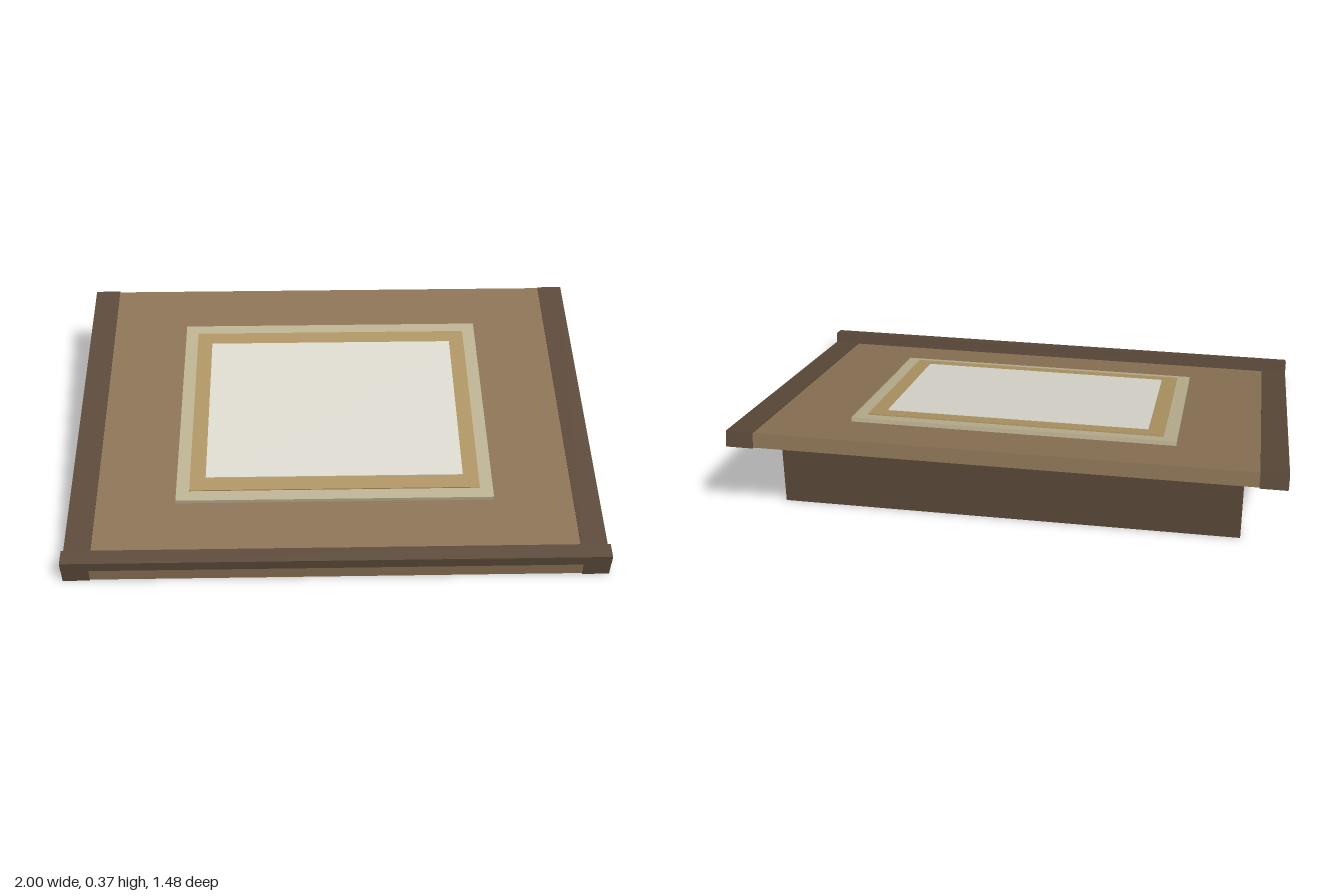
import * as THREE from 'three';

export function createModel() {
  const model = new THREE.Group();
  const material = (name, color) => {
    const m = new THREE.MeshStandardMaterial({ color });
    m.name = name;
    return m;
  };
  const wood = material('mid brown wood', 0x8b7355);
  const darkWood = material('dark brown wood', 0x5c4a3a);
  const mount = material('pale khaki mount', 0xbcb192);
  const gold = material('ochre border', 0xae9564);
  const paper = material('off-white paper', 0xdcd9cf);

  const addBox = (parent, name, mat, size, pos) => {
    const mesh = new THREE.Mesh(new THREE.BoxGeometry(...size), mat);
    mesh.name = name;
    mesh.position.set(...pos);
    parent.add(mesh);
    return mesh;
  };

  // Everything on the sloping desk top shares one tilt
  const top = new THREE.Group();
  top.name = 'tiltedTop';
  top.position.set(0, 0.184, -0.004);
  top.rotation.x = THREE.MathUtils.degToRad(12);
  model.add(top);

  // Main panel, whose ends show between the dark battens
  addBox(top, 'board', wood, [2, 0.054, 1.488], [0, 0, 0]);
  for (const side of [1, -1]) {
    addBox(top, side > 0 ? 'leftEndBatten' : 'rightEndBatten', darkWood,
      [0.099, 0.06, 1.492], [side * 0.9495, 0, 0]);
  }

  // Lip that stops things sliding off the front
  addBox(top, 'frontLedge', darkWood, [2, 0.043, 0.06], [0, 0.0485, 0.716]);

  // Stacked mount, border and sheet
  addBox(top, 'mount', mount, [1.2, 0.018, 0.945], [0, 0.034, -0.038]);
  addBox(top, 'border', gold, [1.1, 0.006, 0.85], [0, 0.045, -0.036]);
  addBox(top, 'paperSheet', paper, [0.98, 0.002, 0.726], [0, 0.049, -0.036]);

  // Upright support under the back
  addBox(model, 'rearSupport', darkWood, [1.7, 0.275, 0.07], [0, 0.1375, -0.54]);

  return model;
}
